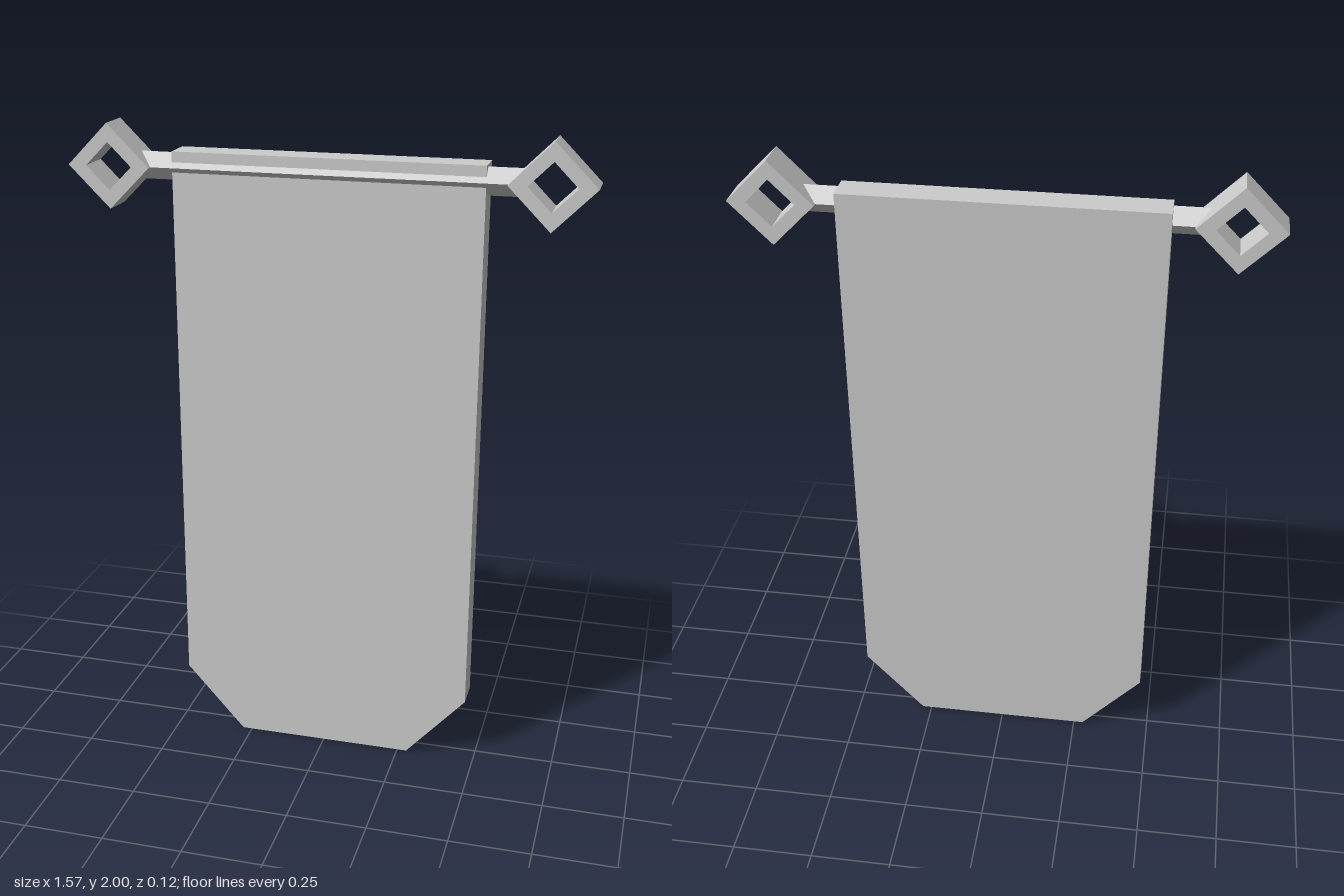
import * as THREE from 'three';

const material = new THREE.MeshStandardMaterial({ color: 0xcccccc, flatShading: true });

function addMesh(parent, name, geometry) {
  const mesh = new THREE.Mesh(geometry, material);
  mesh.name = name;
  parent.add(mesh);
  return mesh;
}

// Diamond outline with the given half diagonal
function diamond(r, PathType) {
  return new PathType([[r, 0], [0, r], [-r, 0], [0, -r]].map(([x, y]) => new THREE.Vector2(x, y)));
}

export function createModel() {
  const group = new THREE.Group();
  group.name = 'hangingBanner';
  const rodY = 1.873, rodZ = 0.007;

  // Thick cloth with clipped lower corners, leaning slightly back towards the top
  const height = 1.92, thickness = 0.095;
  const outline = new THREE.Shape([
    [-0.28, 0], [0.28, 0], [0.468, 0.21], [0.468, height], [-0.468, height], [-0.468, 0.21],
  ].map(([x, y]) => new THREE.Vector2(x, y)));
  const cloth = new THREE.ExtrudeGeometry(outline, { depth: thickness, bevelEnabled: false });
  const pos = cloth.attributes.position;
  for (let i = 0; i < pos.count; i++) {
    const lean = 0.008 - 0.023 * (pos.getY(i) / height);
    pos.setZ(i, pos.getZ(i) - thickness / 2 + lean);
  }
  cloth.computeVertexNormals();
  addMesh(group, 'bannerCloth', cloth);

  // Square rod set on edge, ending inside the ring walls
  const rod = new THREE.CylinderGeometry(0.041, 0.041, 1.16, 4).rotateZ(Math.PI / 2);
  addMesh(group, 'crossRod', rod).position.set(0, rodY, rodZ);

  // Diamond-shaped end rings
  for (const [name, side] of [['leftEndRing', 1], ['rightEndRing', -1]]) {
    const shape = diamond(0.127, THREE.Shape);
    shape.holes.push(diamond(0.071, THREE.Path));
    const ring = new THREE.ExtrudeGeometry(shape, { depth: 0.11, bevelEnabled: false });
    ring.translate(0, 0, -0.055);
    addMesh(group, name, ring).position.set(side * 0.658, rodY, rodZ);
  }
  return group;
}
